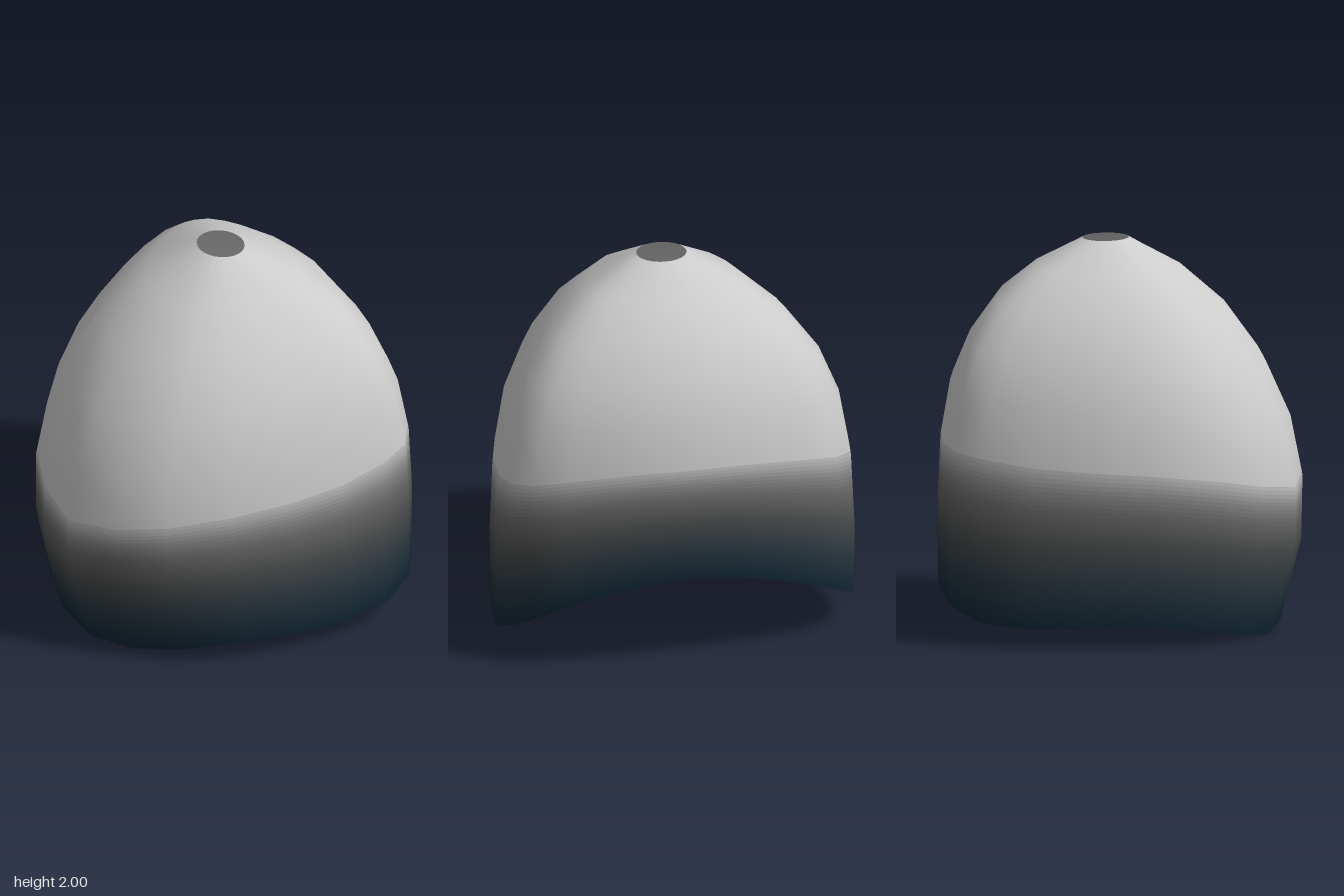
import * as THREE from 'three';

const HALF = 12, SIDES = HALF * 2;
const { lerp } = THREE.MathUtils;

// Lower rim of one half, from the raised +x side round to the -x tip: [x, y, z]
const RIM = [
  [0.915, 0.51, 0], [0.905, 0.49, 0.23], [0.855, 0.425, 0.46], [0.795, 0.35, 0.65],
  [0.72, 0.265, 0.81], [0.61, 0.19, 0.905], [0.44, 0.125, 0.935], [0.2, 0.1, 0.907],
  [-0.07, 0.105, 0.83], [-0.35, 0.11, 0.7], [-0.59, 0.08, 0.505], [-0.72, 0.03, 0.27],
  [-0.77, 0, 0],
];

// Profile from the top hole (ring 0) down to the rim (ring 7)
const SPREAD = [0, 0.345, 0.603, 0.795, 0.917, 0.982, 1.003, 1];
const BULGE = [0, 0.005, 0.06, 0.108, 0.15, 0.165, 0.135, 0];
const LAST = SPREAD.length - 1;
// Height fractions at the +x side, the middle and the -x tip
const HEIGHTS = [
  [1, 0.919, 0.826, 0.698, 0.564, 0.396, 0.208, 0],
  [1, 0.931, 0.84, 0.733, 0.605, 0.44, 0.228, 0],
  [1, 0.92, 0.81, 0.675, 0.53, 0.375, 0.215, 0],
];

// Fade from grey to dark blue towards the rim: [ring, red, green, blue]
const FADE = [
  [4.75, 204, 204, 204], [5, 180, 180, 180], [5.25, 135, 135, 135], [5.5, 106, 106, 106],
  [6, 73, 75, 76], [6.5, 40, 54, 62], [7, 14, 36, 50],
];
const BAND = 1 / 16;

function shellPoint(ring, column) {
  const k = column <= HALF ? column : SIDES - column;
  const side = column <= HALF ? 1 : -1;
  const [rx, ry, rz] = RIM[k];
  const angle = (k / HALF) * Math.PI;
  const topX = 0.137 + 0.117 * Math.cos(angle), topZ = 0.13 * Math.sin(angle);
  const s = SPREAD[ring];
  const t = k / 6, n = Math.min(1, Math.floor(t));
  const h = lerp(HEIGHTS[n][ring], HEIGHTS[n + 1][ring], t - n);
  const x = lerp(topX, rx, s) - BULGE[ring] * Math.max(0, t - 1);
  return [x, lerp(ry, 2, h), lerp(topZ, rz, s) * side];
}

// Triangles between two neighbouring rows of vertices
function stripIndices(row) {
  const out = [];
  for (let c = 0; c < SIDES; c++) {
    const a = row * SIDES + c, d = row * SIDES + (c + 1) % SIDES;
    out.push(a, d, a + SIDES, d, d + SIDES, a + SIDES);
  }
  return out;
}

function buildGeometry(positions, normals, rowCount) {
  const geometry = new THREE.BufferGeometry();
  geometry.setAttribute('position', new THREE.Float32BufferAttribute(positions, 3));
  const indices = [];
  for (let r = 0; r < rowCount - 1; r++) indices.push(...stripIndices(r));
  geometry.setIndex(indices);
  if (normals) geometry.setAttribute('normal', new THREE.Float32BufferAttribute(normals, 3));
  else geometry.computeVertexNormals();
  return geometry;
}

function fadeMaterial(ring) {
  const i = Math.max(1, FADE.findIndex((stop) => stop[0] >= ring));
  const from = FADE[i - 1], to = FADE[i];
  const t = Math.max(0, (ring - from[0]) / (to[0] - from[0]));
  const [r, g, b] = [1, 2, 3].map((n) => lerp(from[n], to[n], t) / 255);
  const color = new THREE.Color().setRGB(r, g, b, THREE.SRGBColorSpace);
  return new THREE.MeshStandardMaterial({ color, side: THREE.DoubleSide });
}

export function createModel() {
  const group = new THREE.Group();

  // Coarse shell gives the smooth normals
  const coarse = [];
  for (let r = 0; r <= LAST; r++) {
    for (let c = 0; c < SIDES; c++) coarse.push(...shellPoint(r, c));
  }
  const normals = buildGeometry(coarse, null, LAST + 1).getAttribute('normal').array;

  // Same surface with narrow rows where the colour fades
  const rows = [0, 1, 2, 3, 4];
  for (let u = FADE[0][0]; u <= LAST; u += BAND) rows.push(u);
  const sample = (data) => rows.flatMap((u) => {
    const r = Math.min(LAST - 1, Math.floor(u));
    return Array.from({ length: SIDES * 3 }, (_, i) =>
      lerp(data[r * SIDES * 3 + i], data[(r + 1) * SIDES * 3 + i], u - r));
  });
  const geometry = buildGeometry(sample(coarse), sample(normals), rows.length);

  // One colour per row, grey above the fade
  const materials = rows.slice(1).map((u, i) => {
    geometry.addGroup(i * SIDES * 6, SIDES * 6, i);
    return fadeMaterial((rows[i] + u) / 2);
  });

  // Thin open shell with a hole at the crown
  const shell = new THREE.Mesh(geometry, materials);
  shell.name = 'domedShell';
  group.add(shell);
  return group;
}
